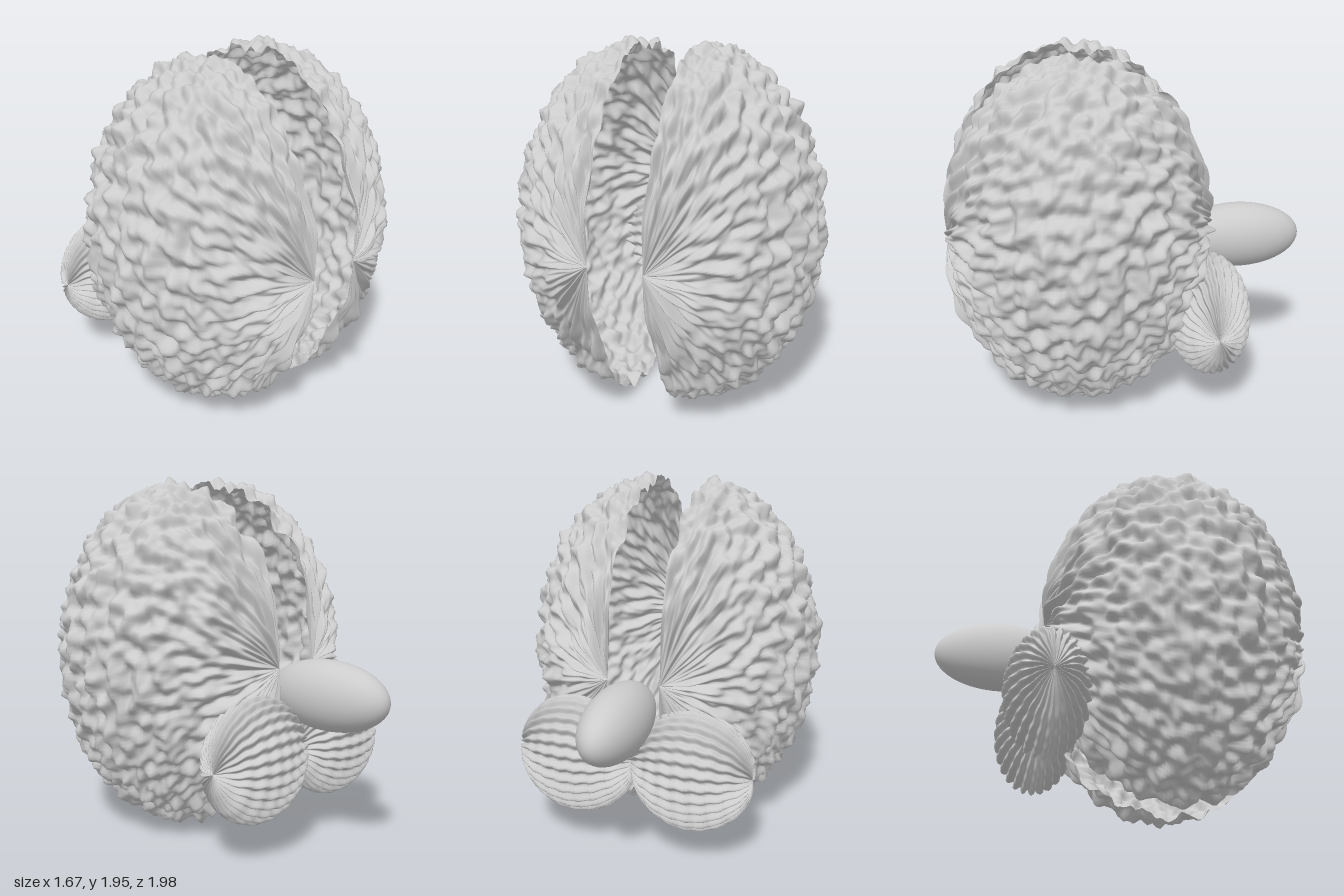
import * as THREE from 'three';

const material = new THREE.MeshStandardMaterial({ color: 0xcccccc, side: THREE.DoubleSide });

// Seeded gradient noise in two dimensions, roughly -0.7 to 0.7
function cornerGradient(ix, iy, dx, dy) {
  let h = Math.imul(ix + 101, 374761393) ^ Math.imul(iy + 57, 668265263);
  h = Math.imul(h ^ (h >>> 13), 1274126177);
  const a = ((h ^ (h >>> 16)) >>> 0) / 4294967296 * Math.PI * 2;
  return Math.cos(a) * dx + Math.sin(a) * dy;
}

function noise(x, y) {
  const ix = Math.floor(x), iy = Math.floor(y), fx = x - ix, fy = y - iy;
  const u = THREE.MathUtils.smootherstep(fx, 0, 1);
  const v = THREE.MathUtils.smootherstep(fy, 0, 1);
  const low = THREE.MathUtils.lerp(cornerGradient(ix, iy, fx, fy), cornerGradient(ix + 1, iy, fx - 1, fy), u);
  const high = THREE.MathUtils.lerp(cornerGradient(ix, iy + 1, fx, fy - 1), cornerGradient(ix + 1, iy + 1, fx - 1, fy - 1), u);
  return THREE.MathUtils.lerp(low, high, v);
}

// Turns a unit sphere into an ellipsoid, pushed along its normal by relief(direction)
function sculpt(geometry, radii, relief) {
  const pos = geometry.attributes.position;
  const d = new THREE.Vector3(), n = new THREE.Vector3();
  for (let i = 0; i < pos.count; i++) {
    d.fromBufferAttribute(pos, i).normalize();
    n.copy(d).divide(radii).normalize();
    const push = relief(d);
    d.multiply(radii).addScaledVector(n, push);
    pos.setXYZ(i, d.x, d.y, d.z);
  }
  geometry.computeVertexNormals();
  return geometry;
}

// Folded half shell, open towards the midline, poles at front and back
function hemisphereGeometry() {
  const g = new THREE.SphereGeometry(1, 160, 140, Math.PI / 2, Math.PI).rotateX(Math.PI / 2);
  return sculpt(g, new THREE.Vector3(0.645, 0.94, 0.695), (d) => {
    const around = Math.atan2(d.y, d.x) / Math.PI;
    const fade = Math.min(1, Math.hypot(d.x, d.y) * 4);
    const folds = noise(around * 31, d.z * 8.5) + 0.35 * noise(around * 54 + 9, d.z * 16 + 5);
    return 0.075 * fade * folds;
  });
}

// Ridged lobe, ridges running between poles on the x axis
function lobeGeometry() {
  const g = new THREE.SphereGeometry(1, 224, 50).rotateZ(Math.PI / 2);
  return sculpt(g, new THREE.Vector3(0.325, 0.32, 0.212), (d) => {
    const around = Math.atan2(d.z, d.y);
    const fade = Math.min(1, Math.hypot(d.y, d.z) * 3);
    return 0.016 * fade * Math.cos(28 * around + 0.5 * Math.sin(d.x * 24));
  });
}

export function createModel() {
  const model = new THREE.Group();
  model.name = 'brain';

  const add = (name, geometry, x, y, z) => {
    const mesh = new THREE.Mesh(geometry, material);
    mesh.name = name;
    mesh.position.set(x, y, z);
    model.add(mesh);
    return mesh;
  };

  // Mirrored pairs
  const hemisphere = hemisphereGeometry();
  const lobe = lobeGeometry();
  for (const [side, s] of [['left', 1], ['right', -1]]) {
    add(side + 'Hemisphere', hemisphere, 0.145 * s, 0.98, 0.265).scale.x = s;
    add(side + 'CerebellumLobe', lobe, 0.325 * s, 0.53, -0.42).scale.x = s;
  }

  // Smooth stem reaching out of the back
  const stem = new THREE.SphereGeometry(1, 40, 28).rotateX(Math.PI / 2).scale(0.16, 0.187, 0.355);
  add('brainStem', stem, 0, 0.847, -0.645);

  // Stand the model on the ground
  const box = new THREE.Box3().setFromObject(model, true);
  for (const part of model.children) part.position.y -= box.min.y;
  return model;
}
